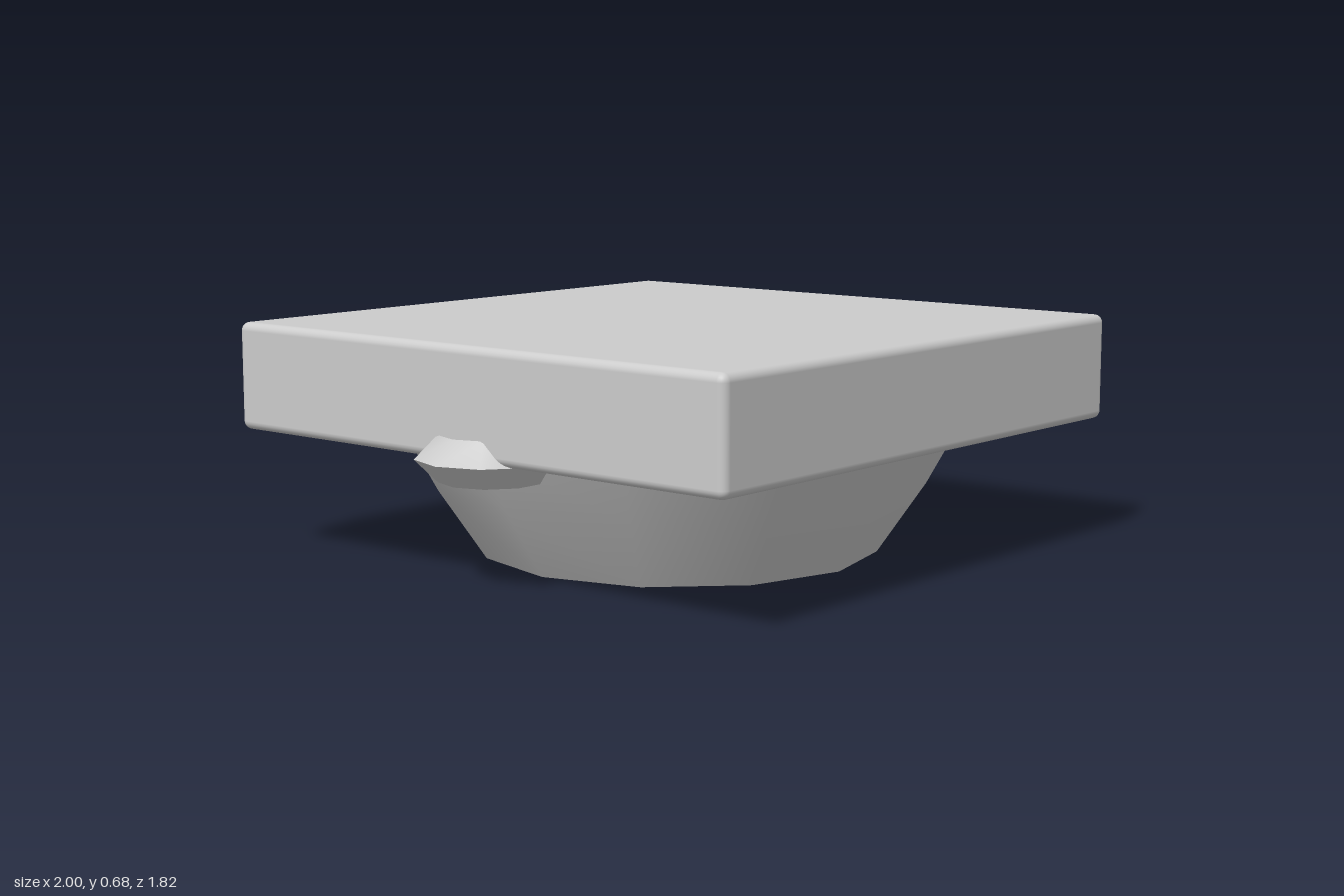
import * as THREE from 'three';
import { toCreasedNormals } from 'three/addons/utils/BufferGeometryUtils.js';
import { RoundedBoxGeometry } from 'three/addons/geometries/RoundedBoxGeometry.js';

const CREASE = Math.PI / 4;

export function createModel() {
  const group = new THREE.Group();
  const grey = new THREE.MeshStandardMaterial({ color: 0xcccccc });
  grey.name = 'light grey';

  const add = (name, geometry, x, y, z) => {
    const mesh = new THREE.Mesh(geometry, grey);
    mesh.name = name;
    mesh.position.set(x, y, z);
    group.add(mesh);
  };

  // Square slab with softened edges
  add('slab', new RoundedBoxGeometry(1.82, 0.315, 1.82, 3, 0.025), 0, 0.525, 0);

  // Twelve-sided flaring bowl, closed by a flat base and a lid inside the slab
  const profile = [[0, 0], [0.595, 0], [0.737, 0.21], [0.835, 0.39], [0, 0.39]]
    .map(([r, y]) => new THREE.Vector2(r, y));
  add('bowl', toCreasedNormals(new THREE.LatheGeometry(profile, 12), CREASE), 0, 0, 0);

  // Ring handles with a diamond section, set into the bowl on both sides
  const ring = new THREE.TorusGeometry(0.15, 0.065, 4, 10).rotateX(Math.PI / 2);
  const handle = toCreasedNormals(ring, CREASE);
  for (const side of [-1, 1]) {
    add(side > 0 ? 'leftHandle' : 'rightHandle', handle, side * 0.785, 0.367, 0);
  }

  return group;
}
